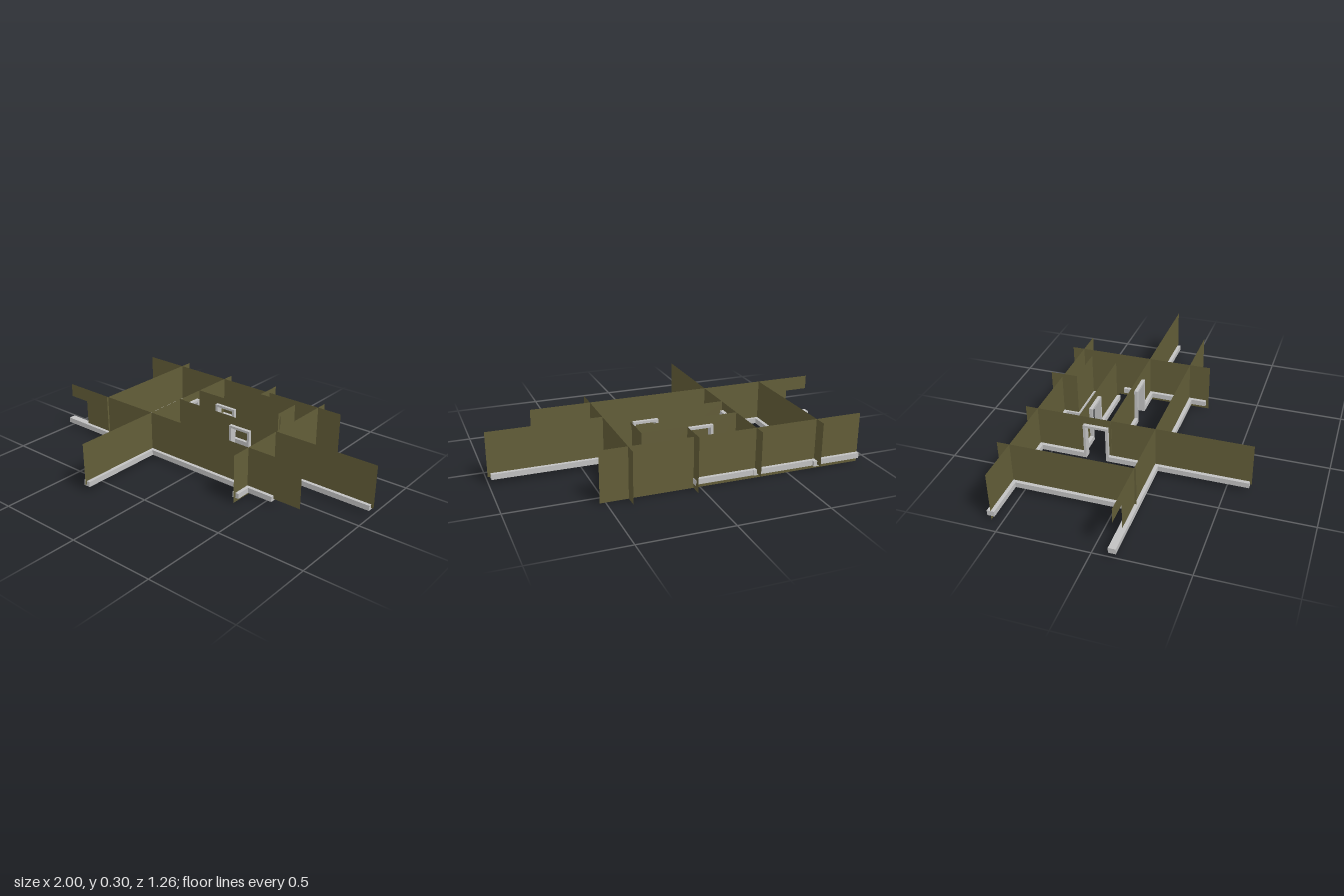
import * as THREE from 'three';

const wallMat = new THREE.MeshStandardMaterial({ color: 0x625d38, side: THREE.DoubleSide });
wallMat.name = 'olive wall';
const trimMat = new THREE.MeshStandardMaterial({ color: 0xc2c2c2 });
trimMat.name = 'light grey trim';

const FLOOR = 0.035, TOP = 0.28, DOOR_TOP = 0.235, STRIP_Y = [0.025, 0.055], WIDTH = 0.04, JAMB = 0.014;

export function createModel() {
  const model = new THREE.Group();

  // Turns geometry laid out along x so that it runs along the chosen axis at a fixed offset
  function place(geometry, material, name, axis, at) {
    if (axis === 'z') geometry.rotateY(-Math.PI / 2).translate(at, 0, 0);
    else geometry.translate(0, 0, at);
    const mesh = new THREE.Mesh(geometry, material);
    mesh.name = name;
    model.add(mesh);
  }

  // Thin upright wall sheet, with an optional doorway [start, end]
  function wall(name, axis, at, a, b, y0 = FLOOR, y1 = TOP, door = null) {
    const s = new THREE.Shape();
    s.moveTo(a, y0);
    if (door) {
      s.lineTo(door[0], y0);
      s.lineTo(door[0], DOOR_TOP);
      s.lineTo(door[1], DOOR_TOP);
      s.lineTo(door[1], y0);
    }
    s.lineTo(b, y0);
    s.lineTo(b, y1);
    s.lineTo(a, y1);
    s.closePath();
    place(new THREE.ShapeGeometry(s), wallMat, name, axis, at);
  }

  // Grey bar with its run, height range and width
  function bar(name, axis, at, a, b, y0, y1, width = WIDTH) {
    const g = new THREE.BoxGeometry(b - a, y1 - y0, width);
    g.translate((a + b) / 2, (y0 + y1) / 2, 0);
    place(g, trimMat, name, axis, at);
  }

  // Foundation strip, broken at a doorway if there is one
  function strip(name, axis, at, a, b, door = null, width = WIDTH) {
    const runs = door ? [[a, door[0]], [door[1], b]] : [[a, b]];
    for (const [p, q] of runs) bar(name, axis, at, p, q, ...STRIP_Y, width);
  }

  // Two jambs and a header
  function doorFrame(axis, at, [a, b]) {
    bar('doorJamb', axis, at, a, a + JAMB, STRIP_Y[0], DOOR_TOP);
    bar('doorJamb', axis, at, b - JAMB, b, STRIP_Y[0], DOOR_TOP);
    bar('doorHeader', axis, at, a, b, DOOR_TOP - JAMB, DOOR_TOP);
  }

  const crossDoor = [-0.295, -0.155];
  const roomDoor = [-0.17, -0.03];
  const hallDoor = [0.075, 0.215];

  // Walls running left to right
  wall('backWall', 'x', -0.56, -0.925, 0.53, 0);
  wall('roomWall', 'x', -0.32, -0.31, 0.285, FLOOR, TOP, roomDoor);
  wall('hallWall', 'x', -0.14, -0.315, 1.0, FLOOR, 0.283, hallDoor);
  wall('frontWall', 'x', 0.105, -0.85, 0.715);
  wall('frontWallLintel', 'x', 0.105, -0.98, -0.85, 0.2, TOP);

  // Walls running front to back
  wall('rightWall', 'z', -0.66, -0.63, 0.115);
  wall('crossWall', 'z', -0.31, -0.63, 0.63, FLOOR, TOP, crossDoor);
  wall('leftWall', 'z', 0.38, -0.63, 0.225, 0);

  // Taller stepped partition
  wall('partitionBack', 'z', 0.035, -0.625, -0.47, 0, 0.3);
  wall('partitionMiddle', 'x', -0.47, 0.035, 0.28, 0, 0.3);
  wall('partitionSide', 'z', 0.28, -0.47, -0.305, 0, 0.3);

  // Foundation strips
  strip('backStrip', 'x', -0.56, -0.925, 0.03);
  strip('roomStrip', 'x', -0.32, -0.31, 0.285, roomDoor);
  strip('hallStrip', 'x', -0.14, -0.33, 0.985, hallDoor);
  strip('frontStrip', 'x', 0.105, -1.0, 0.55);
  strip('rightStrip', 'z', -0.66, -0.595, 0.105);
  strip('crossStrip', 'z', -0.31, -0.585, 0.62, crossDoor);
  strip('leftStrip', 'z', 0.38, -0.305, 0.21);
  strip('partitionStrip', 'z', 0.03, -0.595, -0.465, null, 0.014);
  strip('partitionStrip', 'x', -0.47, 0.025, 0.285, null, 0.014);
  strip('partitionStrip', 'z', 0.278, -0.475, -0.305, null, 0.014);

  // Door frames
  doorFrame('x', -0.32, roomDoor);
  doorFrame('x', -0.14, hallDoor);
  doorFrame('z', -0.31, crossDoor);

  return model;
}
